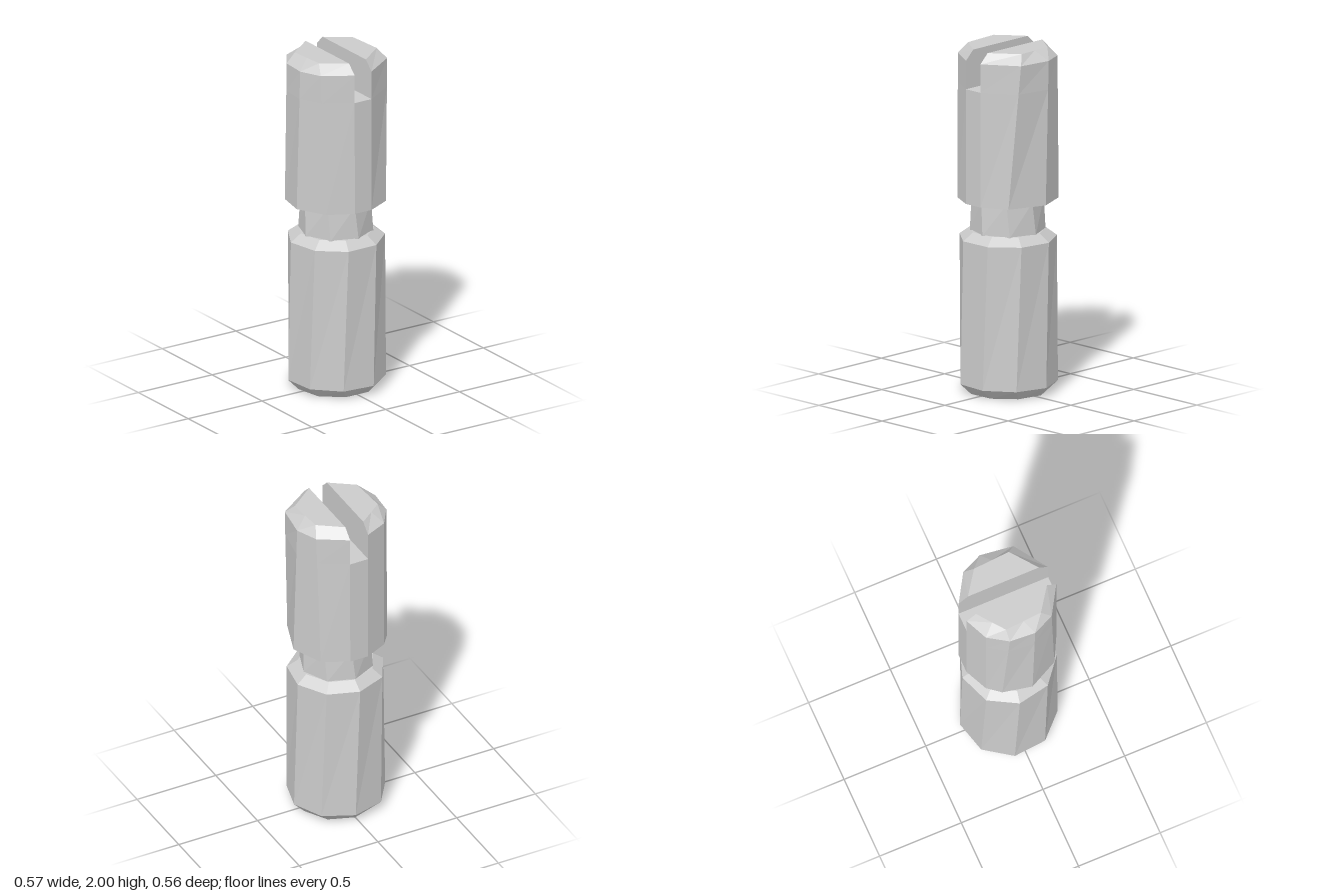
import * as THREE from 'three';

const material = new THREE.MeshStandardMaterial({ color: 0xcccccc, flatShading: true });

// Skin a stack of equal-count [x, z] outlines, each { y, pts }, and close both ends.
function loft(name, rings) {
  const pos = [];
  const n = rings[0].pts.length;
  const put = (ring, i) => pos.push(ring.pts[i % n][0], ring.y, ring.pts[i % n][1]);
  for (let r = 0; r < rings.length - 1; r++) {
    const lo = rings[r], hi = rings[r + 1];
    for (let i = 0; i < n; i++) {
      put(lo, i); put(lo, i + 1); put(hi, i + 1);
      put(lo, i); put(hi, i + 1); put(hi, i);
    }
  }
  const bottom = rings[0], top = rings[rings.length - 1];
  for (let i = 1; i < n - 1; i++) {
    put(bottom, 0); put(bottom, i + 1); put(bottom, i);
    put(top, 0); put(top, i); put(top, i + 1);
  }
  const geometry = new THREE.BufferGeometry();
  geometry.setAttribute('position', new THREE.Float32BufferAttribute(pos, 3));
  geometry.computeVertexNormals();
  const mesh = new THREE.Mesh(geometry, material);
  mesh.name = name;
  return mesh;
}

// Regular outline, with its first corner turned from the front by phase degrees.
function ring(y, radius, sides, phase) {
  const pts = [];
  for (let i = 0; i < sides; i++) {
    const a = THREE.MathUtils.degToRad(phase + (i * 360) / sides);
    pts.push([Math.sin(a) * radius, Math.cos(a) * radius]);
  }
  return { y, pts };
}

const mix = (a, b, t) => a.map((p, i) => [p[0] + (b[i][0] - p[0]) * t, p[1] + (b[i][1] - p[1]) * t]);

export function createModel() {
  const group = new THREE.Group();
  group.name = 'slottedPin';

  // Slightly twisted lower shank with bevelled ends
  group.add(loft('lowerShank', [
    ring(0, 0.228, 9, -20),
    ring(0.055, 0.282, 9, -25),
    ring(0.89, 0.278, 9, -19),
    ring(0.935, 0.217, 9, -19),
  ]));

  // Narrow neck
  group.add(loft('neck', [ring(0.93, 0.213, 8, 3), ring(1.12, 0.203, 8, -2)]));

  // Head outlines, split at the slot: base, shoulder and top
  const s = 0.057, baseY = 1.115, slotY = 1.78, shoulderY = 1.945;
  const sides = {
    right: {
      base: [[s, 0.275], [0.205, 0.2], [0.282, -0.02], [0.205, -0.2], [s, -0.276]],
      shoulder: [[s, 0.274], [0.25, 0.145], [0.275, -0.05], [0.22, -0.175], [s, -0.274]],
      top: [[s, 0.217], [0.21, 0.1], [0.203, -0.01], [0.195, -0.12], [s, -0.217]],
    },
    left: {
      base: [[-s, -0.276], [-0.19, -0.215], [-0.25, -0.14], [-0.285, 0.03], [-0.2, 0.2], [-s, 0.275]],
      shoulder: [[-s, -0.274], [-0.19, -0.215], [-0.265, -0.1], [-0.275, 0.05], [-0.22, 0.175], [-s, 0.274]],
      top: [[-s, -0.217], [-0.14, -0.155], [-0.21, -0.1], [-0.203, 0.01], [-0.195, 0.12], [-s, 0.217]],
    },
  };
  const t = (slotY - baseY) / (shoulderY - baseY);
  for (const side of Object.values(sides)) side.slot = mix(side.base, side.shoulder, t);
  const whole = (key) => [...sides.right[key], ...sides.left[key]];

  // Solid part of the head, up to the slot floor
  group.add(loft('head', [{ y: baseY, pts: whole('base') }, { y: slotY, pts: whole('slot') }]));

  // The two bevelled jaws beside the slot
  for (const [key, side] of Object.entries(sides)) {
    group.add(loft(key + 'Jaw', [
      { y: slotY, pts: side.slot },
      { y: shoulderY, pts: side.shoulder },
      { y: 2, pts: side.top },
    ]));
  }
  return group;
}
